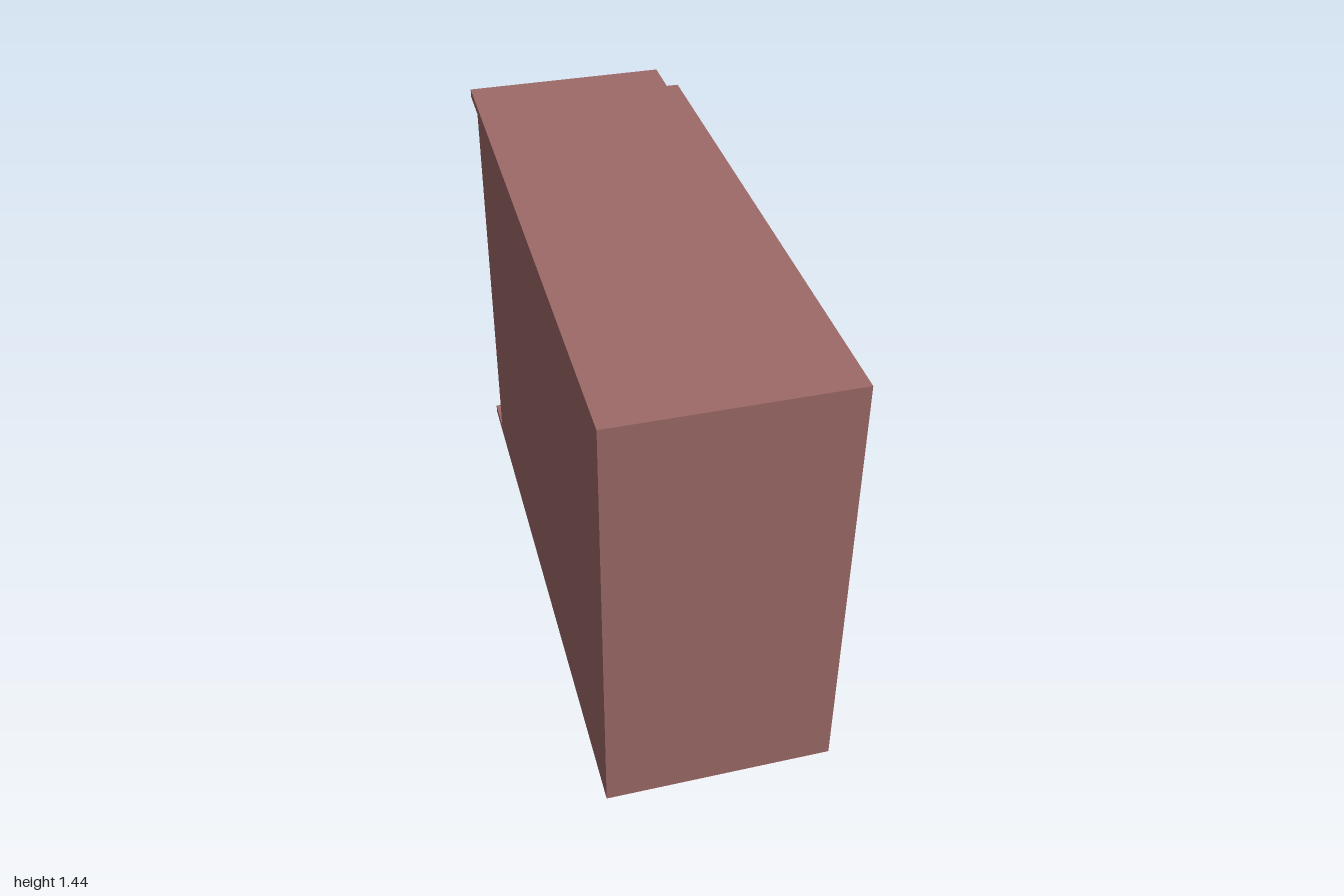
import * as THREE from 'three';

export function createModel() {
  const model = new THREE.Group();
  model.name = 'storageUnit';
  const material = new THREE.MeshStandardMaterial({ color: 0x9e6a68 });

  // Box given by its [min, max] along each axis
  function box(name, [x0, x1], [y0, y1], [z0, z1]) {
    const mesh = new THREE.Mesh(new THREE.BoxGeometry(x1 - x0, y1 - y0, z1 - z0), material);
    mesh.position.set((x0 + x1) / 2, (y0 + y1) / 2, (z0 + z1) / 2);
    mesh.name = name;
    model.add(mesh);
  }

  const H = 1.44, T = 0.03;
  const outer = -0.385, inner = 0.295, face = 0.335; // x of rear wall, carcass edge, front panel
  const recess = -0.86, bayEnd = 0.64;               // z of end recess and of the open bays
  const between = [T, H - T];

  // Carcass: floor and roof run past the end wall to form its flanges
  box('floor', [outer, inner], [0, T], [-1, 1]);
  box('roof', [outer, inner], [H - T, H], [-1, 1]);
  box('rearWall', [outer, outer + T], between, [recess, bayEnd]);
  box('endWall', [outer + T, inner], between, [recess, recess + T]);
  box('endFlange', [inner - T, inner], between, [-1, recess]);
  box('closedCompartment', [outer, inner], between, [bayEnd, 1]);

  // Full-height dividers between the three bays
  for (const z of [0.148, -0.355]) {
    box('divider', [outer + T, inner - T], between, [z - 0.0165, z + 0.0165]);
  }

  // Side panel with two window openings, drawn with shape x = -z
  const panel = new THREE.Shape();
  panel.moveTo(-1, 0).lineTo(-recess - 0.005, 0).lineTo(-recess - 0.005, H).lineTo(-1, H).closePath();
  for (const [y0, y1] of [[0.11, 0.62], [0.83, 1.335]]) {
    const opening = new THREE.Path();
    opening.moveTo(-0.573, y0).lineTo(-0.573, y1).lineTo(0.75, y1).lineTo(0.75, y0).closePath();
    panel.holes.push(opening);
  }
  const sidePanel = new THREE.Mesh(
    new THREE.ExtrudeGeometry(panel, { depth: face - inner, bevelEnabled: false }), material);
  sidePanel.rotation.y = Math.PI / 2;
  sidePanel.position.x = inner;
  sidePanel.name = 'sidePanel';
  model.add(sidePanel);

  // Handles
  const grip = [face, 0.382];
  box('uprightHandle', grip, [0.677, 0.785], [0.825, 0.858]);
  box('upperHandle', grip, [0.757, 0.79], [0.468, 0.577]);
  box('lowerHandle', grip, [0.66, 0.692], [0.468, 0.577]);

  return model;
}
